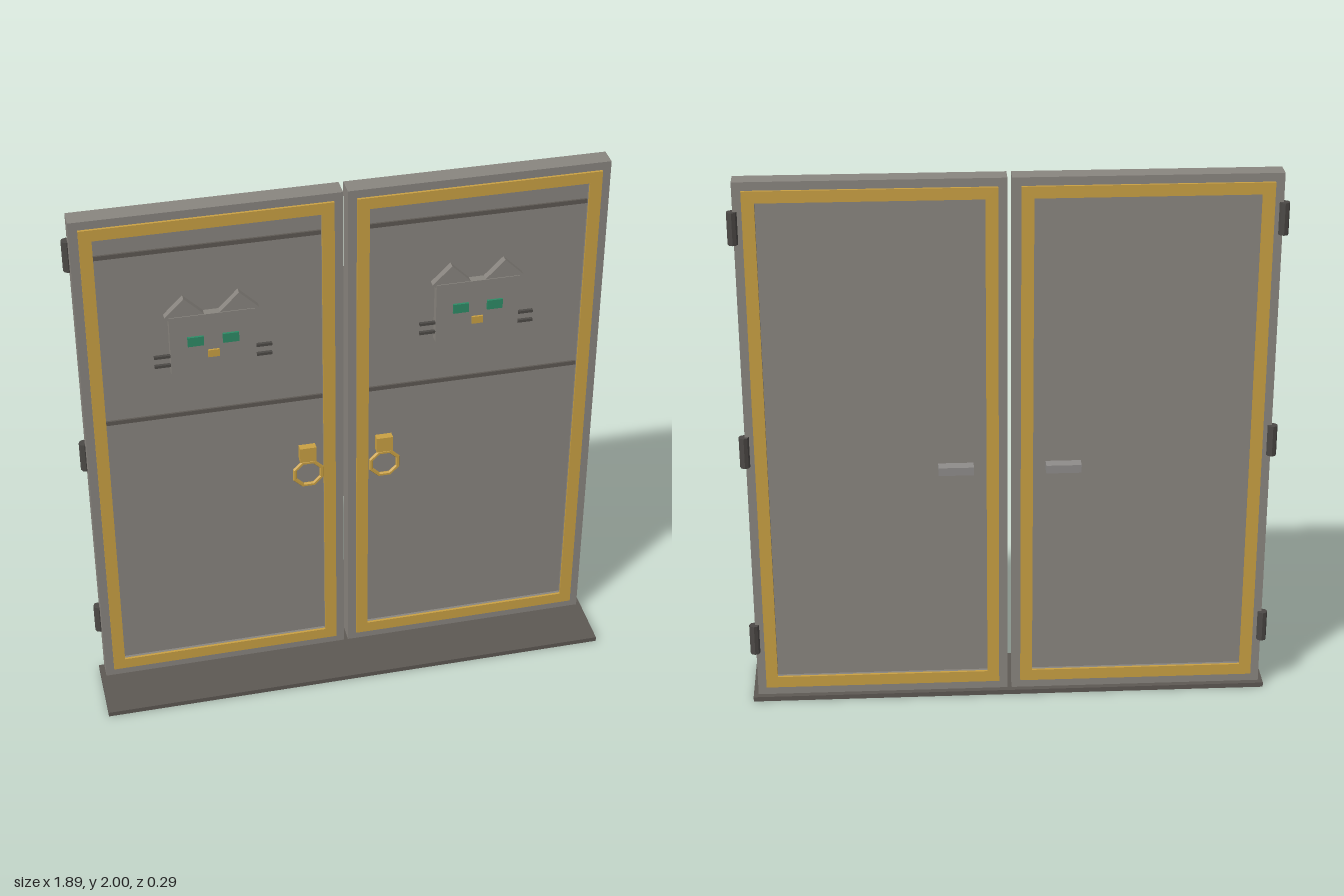
import * as THREE from 'three';

const mat = (name, color) => {
  const m = new THREE.MeshStandardMaterial({ color });
  m.name = name;
  return m;
};

export function createModel() {
  const stone = mat('door grey', 0x89857f);
  const gold = mat('gold', 0xc9a043);
  const dark = mat('dark iron', 0x4c4946);
  const sillGrey = mat('sill grey', 0x5d5853);
  const green = mat('eye green', 0x2e8b66);
  const steel = mat('handle grey', 0x8e8c8a);

  const model = new THREE.Group();
  model.name = 'doubleDoor';

  const add = (parent, name, geometry, material, x = 0, y = 0, z = 0) => {
    const mesh = new THREE.Mesh(geometry, material);
    mesh.name = name;
    mesh.position.set(x, y, z);
    parent.add(mesh);
    return mesh;
  };
  // box given by centre x, y, size w, h and its back and front z
  const box = (parent, name, material, x, y, w, h, z0, z1) =>
    add(parent, name, new THREE.BoxGeometry(w, h, z1 - z0), material, x, y, (z0 + z1) / 2);

  const rect = (Path, w, y0, y1) => {
    const p = new Path();
    p.moveTo(-w / 2, y0);
    p.lineTo(w / 2, y0);
    p.lineTo(w / 2, y1);
    p.lineTo(-w / 2, y1);
    p.closePath();
    return p;
  };
  // rectangular ring around the recessed panel, between z0 and z1
  const ring = (w, y0, y1, z0, z1) => {
    const shape = rect(THREE.Shape, w, y0, y1);
    shape.holes.push(rect(THREE.Path, 0.77, 0.103, 1.928));
    return new THREE.ExtrudeGeometry(shape, { depth: z1 - z0, bevelEnabled: false }).translate(0, 0, z0);
  };

  // threshold
  box(model, 'sill', sillGrey, 0, 0.009, 1.89, 0.018, -0.122, 0.147);

  for (const s of [-1, 1]) {
    const door = new THREE.Group();
    door.name = s > 0 ? 'leftDoor' : 'rightDoor';
    door.position.x = s * 0.467;
    model.add(door);

    // leaf: outer frame, recessed panel, gold trim on both faces
    add(door, 'doorFrame', ring(0.918, 0.027, 2, -0.116, -0.047), stone);
    box(door, 'doorPanel', stone, 0, 1.0155, 0.77, 1.825, -0.106, -0.057);
    add(door, 'frontTrim', ring(0.856, 0.06, 1.97, -0.047, -0.038), gold);
    add(door, 'backTrim', ring(0.856, 0.06, 1.97, -0.125, -0.116), gold);
    for (const y of [1.853, 1.183]) box(door, 'crossStrip', sillGrey, 0, y, 0.768, 0.016, -0.057, -0.05);

    // cat face ornament
    const cat = new THREE.Group();
    cat.name = 'catFace';
    door.add(cat);
    box(cat, 'catHead', stone, 0, 1.483, 0.298, 0.232, -0.057, -0.028);
    box(cat, 'catNose', gold, 0, 1.442, 0.04, 0.028, -0.03, -0.021);
    for (const t of [-1, 1]) {
      const ear = box(cat, 'catEar', stone, t * 0.095, 1.6, 0.096, 0.096, -0.057, -0.031);
      ear.rotation.z = Math.PI / 4;
      box(cat, 'catEye', green, t * 0.061, 1.498, 0.056, 0.036, -0.029, -0.02);
      for (const y of [1.442, 1.405]) box(cat, 'whisker', dark, t * 0.17, y, 0.07, 0.01, -0.043, -0.032);
    }

    // ring pull on the front, grip on the back
    const hx = -s * 0.326;
    box(door, 'pullPlate', gold, hx, 0.946, 0.06, 0.06, -0.057, -0.03);
    const pull = add(door, 'pullRing', new THREE.TorusGeometry(0.053, 0.008, 6, 8), gold, hx, 0.862, -0.036);
    pull.geometry.rotateZ(Math.PI / 8);
    pull.geometry = pull.geometry.toNonIndexed();
    pull.geometry.computeVertexNormals();
    box(door, 'backHandle', steel, -s * 0.277, 0.932, 0.125, 0.03, -0.147, -0.105);

    // hinges on the outer edge
    for (const y of [1.84, 1.013, 0.262]) {
      const g = new THREE.CylinderGeometry(0.018, 0.018, 0.115, 8).toNonIndexed();
      g.computeVertexNormals();
      add(door, 'hinge', g, dark, s * 0.462, y, -0.115);
    }
  }
  return model;
}
